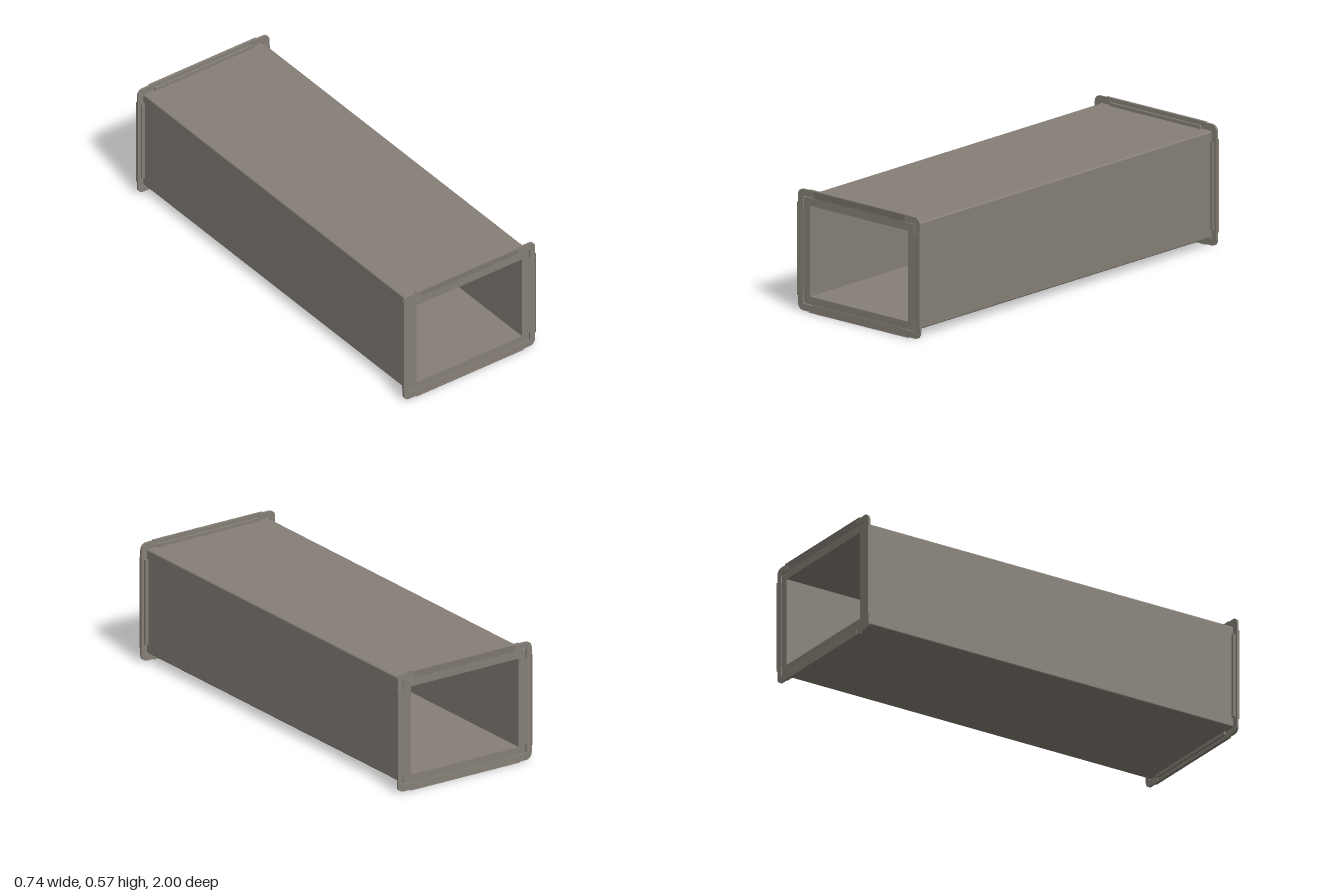
import * as THREE from 'three';

// Rectangular lined duct with a bolted-style rail flange at each end
const CY = 0.286;                 // centre height
const W = 0.334, H = 0.249;       // duct half width and half height
const OPEN_W = 0.295, OPEN_H = 0.212;

function roundedRect(path, w, h, r) {
  path.moveTo(-w + r, -h);
  path.lineTo(w - r, -h);
  path.absarc(w - r, -h + r, r, -Math.PI / 2, 0, false);
  path.lineTo(w, h - r);
  path.absarc(w - r, h - r, r, 0, Math.PI / 2, false);
  path.lineTo(-w + r, h);
  path.absarc(-w + r, h - r, r, Math.PI / 2, Math.PI, false);
  path.lineTo(-w, -h + r);
  path.absarc(-w + r, -h + r, r, Math.PI, Math.PI * 1.5, false);
  return path;
}

function extrude(shape, depth, z) {
  const g = new THREE.ExtrudeGeometry(shape, { depth, bevelEnabled: false, curveSegments: 8 });
  return g.translate(0, 0, z);
}

// Extrudes an (outward, z) profile along one side of the duct
function sideBar(points, length, angle, distance) {
  const shape = new THREE.Shape(points.map(([u, z]) => new THREE.Vector2(u, z)));
  const g = extrude(shape, length, -length / 2);
  const out = new THREE.Vector3(Math.cos(angle), Math.sin(angle), 0);
  const z = new THREE.Vector3(0, 0, 1);
  const m = new THREE.Matrix4().makeBasis(out, z, out.clone().cross(z));
  m.setPosition(out.clone().multiplyScalar(distance));
  return g.applyMatrix4(m);
}

// L-shaped corner plate, drawn for the +x +y corner
function cornerShape() {
  const x = 0.367, y = 0.283, r = 0.03, ix = W + 0.003, iy = H + 0.003;
  const s = new THREE.Shape();
  s.moveTo(ix, 0.204);
  s.lineTo(x, 0.204);
  s.lineTo(x, y - r);
  s.absarc(x - r, y - r, r, 0, Math.PI / 2, false);
  s.lineTo(0.275, y);
  s.lineTo(0.275, iy);
  s.lineTo(ix - 0.008, iy);
  s.absarc(ix - 0.008, iy - 0.008, 0.008, Math.PI / 2, 0, true);
  s.lineTo(ix, 0.204);
  return s;
}

export function createModel() {
  const model = new THREE.Group();
  model.name = 'ductSection';
  const steel = new THREE.MeshStandardMaterial({ color: 0x857f76 });
  steel.name = 'galvanisedSteel';

  const add = (parent, name, geometry) => {
    const mesh = new THREE.Mesh(geometry, steel);
    mesh.name = name;
    parent.add(mesh);
    return mesh;
  };

  // Hollow body
  const body = roundedRect(new THREE.Shape(), W, H, 0.008);
  body.holes.push(roundedRect(new THREE.Path(), OPEN_W, OPEN_H, 0.001));
  add(model, 'ductBody', extrude(body, 1.99, -0.995)).position.y = CY;

  // Four rails, each with a stepped back and a thin outer lip
  const sides = [
    ['leftRail', 0, W, 0.408, 0.436],
    ['topRail', Math.PI / 2, H, 0.55, 0.6],
    ['rightRail', Math.PI, W, 0.408, 0.436],
    ['bottomRail', -Math.PI / 2, H, 0.55, 0.6],
  ];
  for (const end of ['front', 'back']) {
    const flange = new THREE.Group();
    flange.name = end + 'Flange';
    flange.position.y = CY;
    if (end === 'back') flange.rotation.y = Math.PI;
    model.add(flange);

    for (const [name, angle, dist, faceLen, lipLen] of sides) {
      const inner = name === 'topRail' ? 0.994 : 0.998;
      add(flange, name, sideBar([
        [-0.001, 0.98], [0.016, 0.98], [0.016, 0.99], [0.034, 0.99],
        [0.034, 0.999], [-0.001, inner],
      ], faceLen, angle, dist));
      add(flange, name + 'Lip', sideBar([
        [0.0335, 0.986], [0.037, 0.986], [0.037, 1], [0.0335, 1],
      ], lipLen, angle, dist - (dist === W ? 0.002 : 0)));
    }

    // Corner plates
    for (let i = 0; i < 4; i++) {
      const sx = i % 2 ? -1 : 1, sy = i < 2 ? 1 : -1;
      const plate = add(flange, 'cornerPlate', extrude(cornerShape(), 0.01, 0.987));
      plate.scale.set(sx, sy, 1);
    }
  }
  return model;
}
